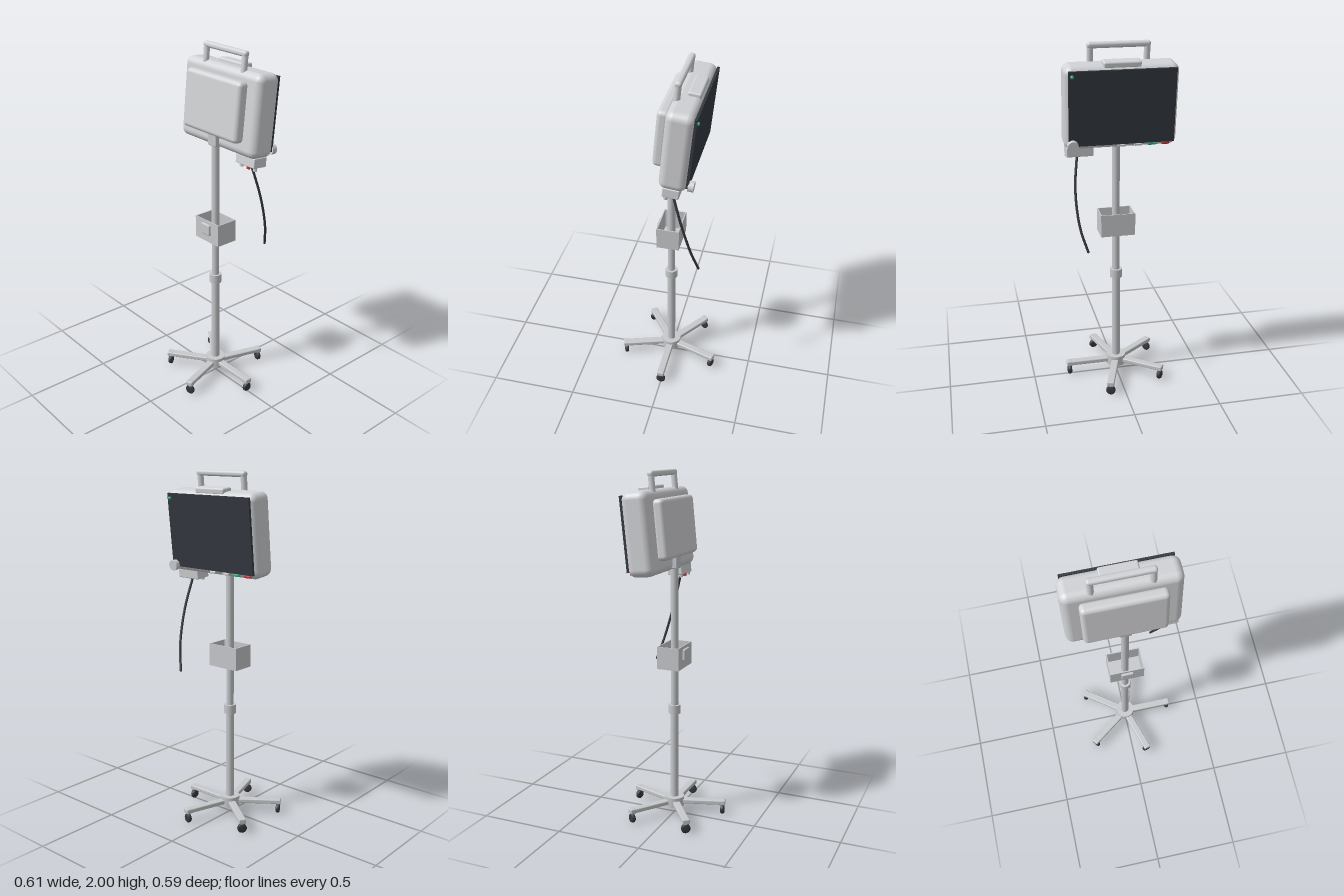
import * as THREE from 'three';
import { RoundedBoxGeometry } from 'three/addons/geometries/RoundedBoxGeometry.js';

const material = (name, color) => {
  const m = new THREE.MeshStandardMaterial({ color });
  m.name = name;
  return m;
};

export function createModel() {
  const casing = material('casing grey', 0xd2d3d6);
  const metal = material('metal grey', 0xc6c8cb);
  const screenDark = material('screen dark', 0x343941);
  const rubber = material('rubber dark', 0x36393f);
  const green = material('green', 0x3fae78);
  const red = material('red', 0xc23b3b);

  const model = new THREE.Group();
  model.name = 'monitorOnStand';

  const add = (parent, name, geometry, mat, x = 0, y = 0, z = 0) => {
    const mesh = new THREE.Mesh(geometry, mat);
    mesh.name = name;
    mesh.position.set(x, y, z);
    parent.add(mesh);
    return mesh;
  };
  const box = (w, h, d) => new THREE.BoxGeometry(w, h, d);
  const round = (w, h, d, r) => new RoundedBoxGeometry(w, h, d, 4, r);
  const cyl = (r, h, sides = 28) => new THREE.CylinderGeometry(r, r, h, sides);

  // Five-legged base with casters
  add(model, 'baseHub', cyl(0.057, 0.06, 32), metal, 0, 0.075, 0);
  for (let i = 0; i < 5; i++) {
    const leg = new THREE.Group();
    leg.name = 'baseLeg';
    leg.rotation.y = (i * Math.PI * 2) / 5;
    model.add(leg);
    add(leg, 'legBar', round(0.25, 0.026, 0.042, 0.006), metal, 0.155, 0.073, 0);
    add(leg, 'legEnd', round(0.032, 0.03, 0.042, 0.006), metal, 0.287, 0.072, 0);
    add(leg, 'casterStem', cyl(0.009, 0.04, 16), metal, 0.286, 0.052, 0);
    const wheelProfile = [[0, -0.012], [0.021, -0.012], [0.027, -0.006],
      [0.027, 0.006], [0.021, 0.012], [0, 0.012]].map(([r, y]) => new THREE.Vector2(r, y));
    const wheel = add(leg, 'casterWheel', new THREE.LatheGeometry(wheelProfile, 20), rubber, 0.286, 0.027, 0);
    wheel.rotation.z = Math.PI / 2;
  }

  // Telescopic pole
  add(model, 'lowerPole', cyl(0.0235, 0.58), metal, 0, 0.36, 0);
  add(model, 'upperPole', cyl(0.0215, 0.86), metal, 0, 1.07, 0);
  add(model, 'poleCollar', cyl(0.035, 0.052), metal, 0, 0.648, 0);
  add(model, 'headMount', round(0.066, 0.075, 0.055, 0.006), metal, 0, 1.505, 0);

  // Open basket clamped on the pole
  const rect = (shape, w, d) => {
    shape.moveTo(-w, -d);
    shape.lineTo(w, -d);
    shape.lineTo(w, d);
    shape.lineTo(-w, d);
    shape.closePath();
    return shape;
  };
  const wall = rect(new THREE.Shape(), 0.098, 0.065);
  wall.holes.push(rect(new THREE.Path(), 0.092, 0.059));
  const walls = add(model, 'basketWalls',
    new THREE.ExtrudeGeometry(wall, { depth: 0.125, bevelEnabled: false }), metal, 0, 0.908, 0);
  walls.rotation.x = -Math.PI / 2;
  add(model, 'basketFloor', box(0.196, 0.008, 0.13), metal, 0, 0.908, 0);
  add(model, 'basketClamp', round(0.07, 0.065, 0.018, 0.006), metal, 0, 0.983, 0.07);

  // Tilted monitor head, its screen facing -z
  const head = new THREE.Group();
  head.name = 'monitorHead';
  head.position.set(0, 1.675, -0.09);
  head.rotation.x = -0.1;
  model.add(head);
  add(head, 'housing', round(0.61, 0.45, 0.15, 0.042), casing);
  add(head, 'rearPanel', round(0.44, 0.325, 0.065, 0.024), casing, 0, 0.012, 0.099);
  add(head, 'screen', box(0.57, 0.405, 0.014), screenDark, 0, 0.006, -0.077);
  add(head, 'topCover', round(0.2, 0.035, 0.07, 0.01), casing, 0, 0.227, -0.026);

  // Carry handle
  add(head, 'handleBar', round(0.34, 0.032, 0.036, 0.014), casing, 0, 0.306, 0.05);
  for (const side of [-1, 1]) {
    add(head, 'handlePost', cyl(0.017, 0.1, 20), casing, side * 0.152, 0.26, 0.05);
  }

  // Control knob and status light
  const knob = add(head, 'controlKnob', cyl(0.029, 0.03, 24), casing, 0.265, -0.188, -0.095);
  knob.rotation.x = Math.PI / 2;
  add(head, 'statusLight', new THREE.SphereGeometry(0.01, 16, 12), green, 0.267, 0.182, -0.086);

  // Buttons along the lower edge of the screen
  [[0, casing], [-0.09, casing], [-0.165, green], [-0.24, red]].forEach(([x, mat]) =>
    add(head, 'screenButton', round(0.042, 0.014, 0.022, 0.004), mat, x, -0.207, -0.068));

  // Socket box with plugs underneath
  add(head, 'socketBox', round(0.146, 0.055, 0.09, 0.005), casing, 0.218, -0.246, 0.003);
  [[0.175, casing], [0.23, red], [0.28, casing]].forEach(([x, mat]) =>
    add(head, 'socketPlug', cyl(0.011, 0.024, 16), mat, x, -0.278, 0.028));

  // Hanging cable
  const path = new THREE.CatmullRomCurve3([
    [0.226, 1.41, -0.055], [0.247, 1.24, -0.102], [0.246, 1.11, -0.138],
    [0.232, 1.0, -0.168], [0.198, 0.883, -0.2],
  ].map((p) => new THREE.Vector3(...p)));
  add(model, 'cable', new THREE.TubeGeometry(path, 40, 0.007, 10), rubber);
  for (const t of [0, 1]) {
    const p = path.getPoint(t);
    add(model, 'cableTip', new THREE.SphereGeometry(0.007, 10, 8), rubber, p.x, p.y, p.z);
  }

  return model;
}
